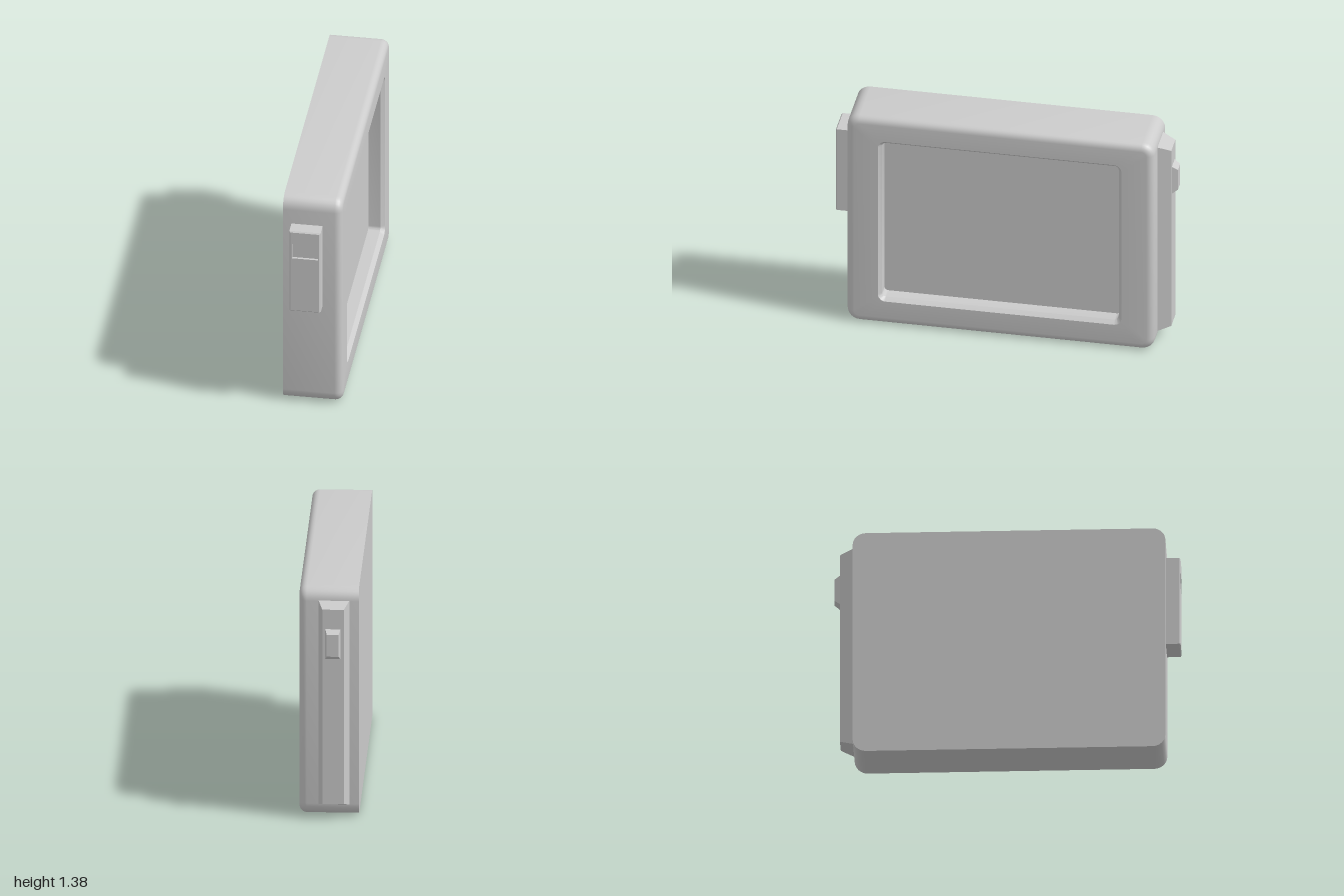
import * as THREE from 'three';
import { toCreasedNormals } from 'three/addons/utils/BufferGeometryUtils.js';

// Counter-clockwise rounded rectangle; segs = 0 gives four sharp corners.
function rectLoop([u0, u1, v0, v1], r, segs) {
  const corners = [[u1 - r, v0 + r, -1], [u1 - r, v1 - r, 0], [u0 + r, v1 - r, 1], [u0 + r, v0 + r, 2]];
  const loop = [];
  for (const [u, v, q] of corners) {
    for (let i = 0; i <= segs; i++) {
      const a = (q + (segs ? i / segs : 0)) * Math.PI / 2;
      loop.push(segs ? [u + r * Math.cos(a), v + r * Math.sin(a)] : [u, v]);
    }
  }
  return loop;
}

// Skins a list of { rect, r, w } sections stacked along z and closes both ends.
function loft(sections, segs = 0) {
  const pos = [], index = [];
  const n = 4 * (segs + 1);
  for (const { rect, r = 0, w } of sections) {
    for (const [u, v] of rectLoop(rect, r, segs)) pos.push(u, v, w);
  }
  for (let s = 0; s < sections.length - 1; s++) {
    for (let i = 0; i < n; i++) {
      const a = s * n + i, b = s * n + (i + 1) % n;
      index.push(a, b, b + n, a, b + n, a + n);
    }
  }
  const last = (sections.length - 1) * n;
  for (let i = 1; i < n - 1; i++) {
    index.push(0, i + 1, i, last, last + i, last + i + 1);
  }
  const geo = new THREE.BufferGeometry();
  geo.setAttribute('position', new THREE.Float32BufferAttribute(pos, 3));
  geo.setIndex(index);
  return toCreasedNormals(geo, 0.5);
}

const inset = ([u0, u1, v0, v1], d) => [u0 + d, u1 - d, v0 + d, v1 - d];

export function createModel() {
  const group = new THREE.Group();
  const material = new THREE.MeshStandardMaterial({ color: 0xcccccc });
  const add = (name, geometry, turn = 0) => {
    const mesh = new THREE.Mesh(geometry, material);
    mesh.name = name;
    mesh.rotation.y = turn;
    group.add(mesh);
  };

  // Housing: flat back, rounded rim, recessed screen; lofted toward +x (u = -z)
  const outer = [-0.915, 0.89, 0, 1.385];
  const opening = [-0.73, 0.7, 0.155, 1.235];
  const edge = 0.045, corner = 0.075, face = 0.17;
  const body = [{ rect: outer, r: corner, w: -0.175 }];
  for (let i = 0; i <= 6; i++) {
    const a = i / 6 * Math.PI / 2, d = edge * (1 - Math.cos(a));
    body.push({ rect: inset(outer, d), r: corner - d, w: face - edge + edge * Math.sin(a) });
  }
  const inner = inset(opening, 0.02);
  body.push(
    { rect: opening, r: 0.045, w: face },
    { rect: inner, r: 0.025, w: face - 0.025 },
    { rect: inner, r: 0.025, w: face - 0.095 },
  );
  add('housing', loft(body, 6), Math.PI / 2);

  // Front block with a chamfered edge and a shallow window
  const block = [-0.125, 0.057, 0.672, 1.218];
  const windowRect = [-0.108, 0.042, 1.035, 1.133];
  add('frontBlock', loft([
    { rect: block, w: 0.905 },
    { rect: block, w: 0.993 },
    { rect: inset(block, 0.007), w: 1 },
    { rect: windowRect, w: 1 },
    { rect: windowRect, w: 0.985 },
  ]));

  // Tapered rail on the rear, lofted toward -z (u = -x)
  add('rearRail', loft([
    { rect: [-0.058, 0.122, 0.07, 1.315], w: 0.885 },
    { rect: [-0.032, 0.092, 0.1, 1.285], w: 0.966 },
  ]), Math.PI);

  // Small tapered button on the rail
  add('rearButton', loft([
    { rect: [-0.016, 0.074, 0.982, 1.168], w: 0.963 },
    { rect: [-0.005, 0.063, 1.01, 1.143], w: 1 },
  ]), Math.PI);

  return group;
}
